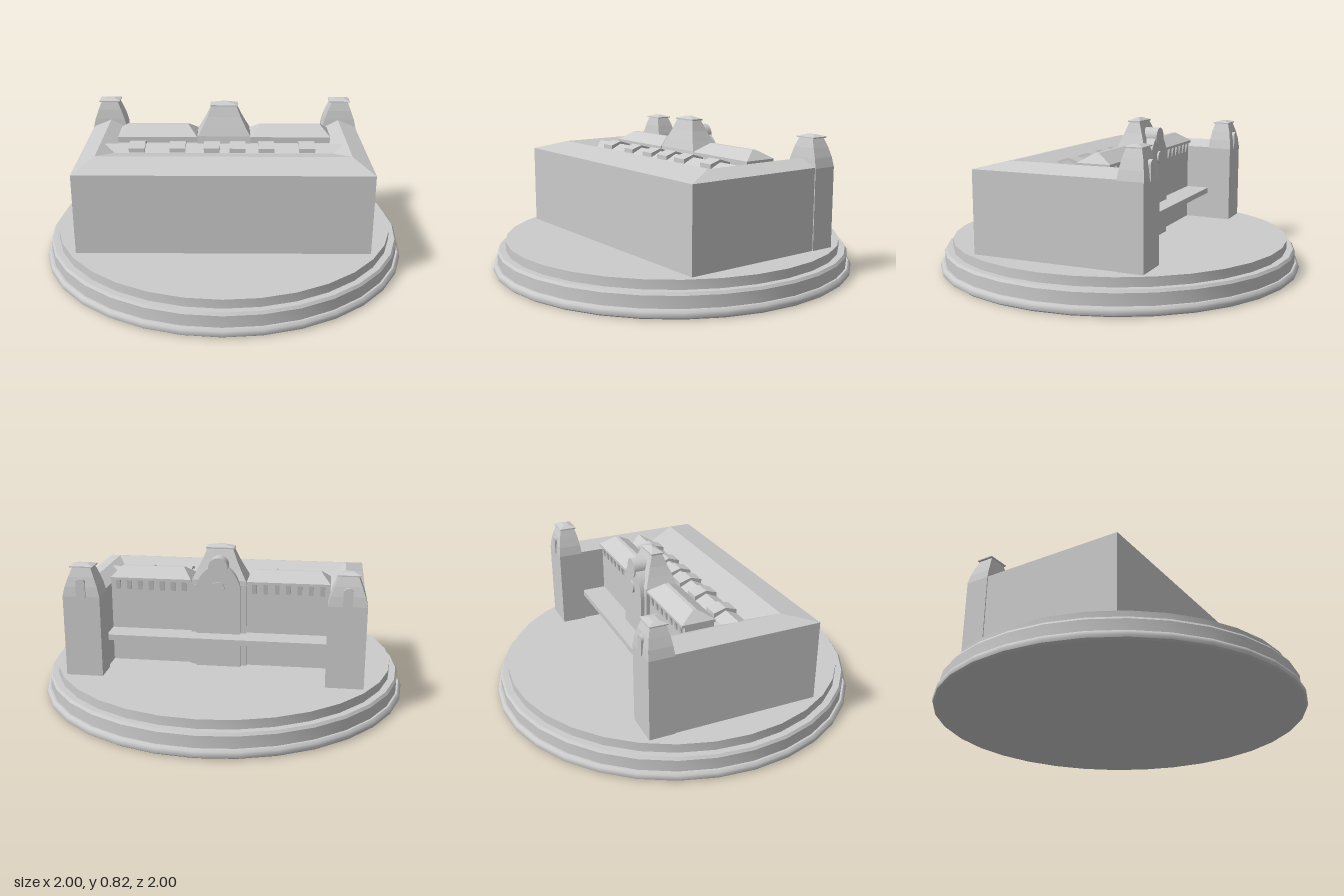
import * as THREE from 'three';
import { toCreasedNormals } from 'three/addons/utils/BufferGeometryUtils.js';

const grey = new THREE.MeshStandardMaterial({ color: 0xcccccc });

function add(parent, name, geometry) {
  const mesh = new THREE.Mesh(geometry, grey);
  mesh.name = name;
  parent.add(mesh);
  return mesh;
}

// Solid through stacked rectangles, each [x0, x1, z0, z1, y], bottom to top
function loft(rings) {
  const pos = [];
  const corners = rings.map(([x0, x1, z0, z1, y]) =>
    [[x0, y, z1], [x1, y, z1], [x1, y, z0], [x0, y, z0]].map((c) => new THREE.Vector3(...c)));
  const tri = (a, b, c) => {
    if (new THREE.Triangle(a, b, c).getArea() < 1e-7) return;
    for (const v of [a, b, c]) pos.push(v.x, v.y, v.z);
  };
  const quad = (a, b, c, d) => { tri(a, b, c); tri(a, c, d); };
  for (let r = 0; r + 1 < corners.length; r++) {
    const a = corners[r], b = corners[r + 1];
    for (let i = 0; i < 4; i++) {
      const j = (i + 1) % 4;
      quad(a[i], a[j], b[j], b[i]);
    }
  }
  const top = corners[corners.length - 1], low = corners[0];
  quad(...top);
  quad(low[3], low[2], low[1], low[0]);
  const g = new THREE.BufferGeometry();
  g.setAttribute('position', new THREE.Float32BufferAttribute(pos, 3));
  g.computeVertexNormals();
  return g;
}

const block = (x0, x1, z0, z1, y0, y1) => loft([[x0, x1, z0, z1, y0], [x0, x1, z0, z1, y1]]);

// Same rectangle mirrored to the other side of x = 0
const flip = (s, [x0, x1, ...rest]) => (s > 0 ? [x0, x1, ...rest] : [-x1, -x0, ...rest]);

function archShape(w, h) {
  const s = new THREE.Shape();
  s.moveTo(-w, 0);
  s.lineTo(w, 0);
  s.lineTo(w, h - w);
  s.absarc(0, h - w, w, 0, Math.PI, false);
  s.closePath();
  return s;
}

function extrude(shape, depth) {
  return new THREE.ExtrudeGeometry(shape, { depth, bevelEnabled: false, curveSegments: 10 });
}

function createBase() {
  const profile = [
    [0, 0], [0.985, 0], [0.996, 0.008], [1, 0.022], [0.996, 0.036], [0.985, 0.046],
    [0.975, 0.046], [0.975, 0.108], [0.965, 0.122], [0.93, 0.122], [0.93, 0.17], [0, 0.17],
  ].map(([x, y]) => new THREE.Vector2(x, y));
  return toCreasedNormals(new THREE.LatheGeometry(profile, 32), 0.6);
}

// Corner tower with a curved roof, cap and arched dormer
function createTower(s) {
  const tower = new THREE.Group();
  tower.name = s > 0 ? 'leftTower' : 'rightTower';
  const rings = (list) => loft(list.map((r) => flip(s, r)));
  add(tower, 'towerBody', rings([
    [0.58, 0.775, -0.465, -0.33, 0.17], [0.58, 0.775, -0.465, -0.33, 0.6],
  ]));
  add(tower, 'towerRoof', rings([
    [0.58, 0.775, -0.465, -0.33, 0.6], [0.592, 0.763, -0.46, -0.335, 0.65],
    [0.61, 0.745, -0.45, -0.343, 0.7], [0.63, 0.725, -0.435, -0.355, 0.748],
  ]));
  add(tower, 'towerCap', rings([
    [0.617, 0.738, -0.442, -0.348, 0.748], [0.617, 0.738, -0.442, -0.348, 0.754],
    [0.65, 0.705, -0.41, -0.38, 0.764],
  ]));
  const dormer = add(tower, 'towerDormer', extrude(archShape(0.024, 0.1), 0.035));
  dormer.position.set(s * 0.6775, 0.595, -0.47);
  return tower;
}

// Middle of the back: curved tower roof, gabled bay, round crest and dial
function createCentre() {
  const centre = new THREE.Group();
  centre.name = 'centralTower';
  const ring = (x, z0, z1, y) => [-x, x, z0, z1, y];
  add(centre, 'centralRoof', loft([
    ring(0.15, -0.215, -0.03, 0.6), ring(0.145, -0.212, -0.035, 0.645),
    ring(0.118, -0.19, -0.052, 0.695), ring(0.093, -0.17, -0.07, 0.745),
    ring(0.07, -0.148, -0.088, 0.802),
  ]));
  add(centre, 'centralCap', loft([
    ring(0.077, -0.152, -0.084, 0.802), ring(0.077, -0.152, -0.084, 0.81),
    ring(0.015, -0.123, -0.113, 0.825),
  ]));
  add(centre, 'centralPier', block(-0.15, 0.15, -0.215, -0.1, 0.17, 0.62));
  const s = new THREE.Shape();
  s.moveTo(-0.12, 0.17);
  s.lineTo(0.12, 0.17);
  s.lineTo(0.12, 0.58);
  s.quadraticCurveTo(0.12, 0.67, 0.045, 0.72);
  s.lineTo(-0.045, 0.72);
  s.quadraticCurveTo(-0.12, 0.67, -0.12, 0.58);
  s.closePath();
  add(centre, 'gabledBay', extrude(s, 0.06)).position.z = -0.235;
  const disc = (name, r, depth, y, z) => {
    const g = new THREE.CylinderGeometry(r, r, depth, 24).rotateX(Math.PI / 2);
    add(centre, name, g).position.set(0, y, z);
  };
  disc('roundCrest', 0.052, 0.08, 0.72, -0.2);
  disc('dial', 0.034, 0.012, 0.61, -0.239);
  return centre;
}

export function createModel() {
  const model = new THREE.Group();
  model.name = 'palaceOnRoundBase';
  add(model, 'roundBase', createBase());

  // Main block and front roof
  add(model, 'mainBlock', block(-0.77, 0.77, -0.195, 0.46, 0.17, 0.605));
  add(model, 'frontRoof', loft([
    [-0.77, 0.77, 0.13, 0.46, 0.605], [-0.67, 0.67, 0.29, 0.29, 0.645],
  ]));

  // Middle roof with a row of flat dormers
  add(model, 'middleRoof', loft([
    [-0.65, 0.65, -0.01, 0.14, 0.6], [-0.65, 0.65, 0.065, 0.065, 0.636],
  ]));
  for (const x of [-0.47, -0.25, -0.065, 0.075, 0.23, 0.45]) {
    add(model, 'roofDormer', loft([
      [x - 0.043, x + 0.043, 0, 0.127, 0.603], [x - 0.043, x + 0.043, 0, 0.127, 0.63],
      [x - 0.043, x + 0.043, 0.065, 0.065, 0.65],
    ]));
  }

  for (const s of [1, -1]) {
    const rings = (list) => loft(list.map((r) => flip(s, r)));
    // Side wing and its ridge roof
    add(model, 'wing', rings([[0.59, 0.77, -0.34, 0, 0.17], [0.59, 0.77, -0.34, 0, 0.605]]));
    add(model, 'wingRoof', rings([
      [0.59, 0.77, -0.34, 0.46, 0.605], [0.67, 0.67, -0.34, 0.29, 0.645],
    ]));
    // Rear hall with hipped roof and eave brackets
    add(model, 'rearHall', rings([
      [0.14, 0.59, -0.195, -0.04, 0.6], [0.14, 0.59, -0.195, -0.04, 0.635],
    ]));
    add(model, 'rearRoof', rings([
      [0.15, 0.59, -0.212, -0.03, 0.628], [0.15, 0.59, -0.212, -0.03, 0.642],
      [0.2, 0.54, -0.13, -0.11, 0.69],
    ]));
    for (let i = 0; i < 7; i++) {
      const x = 0.19 + i * 0.06;
      add(model, 'eaveBracket', rings([
        [x - 0.012, x + 0.012, -0.2, -0.19, 0.575], [x - 0.012, x + 0.012, -0.21, -0.19, 0.63],
      ]));
    }
    model.add(createTower(s));
  }

  // Terrace slab between the towers
  add(model, 'terrace', block(-0.59, 0.59, -0.33, -0.19, 0.325, 0.355));
  model.add(createCentre());
  return model;
}
